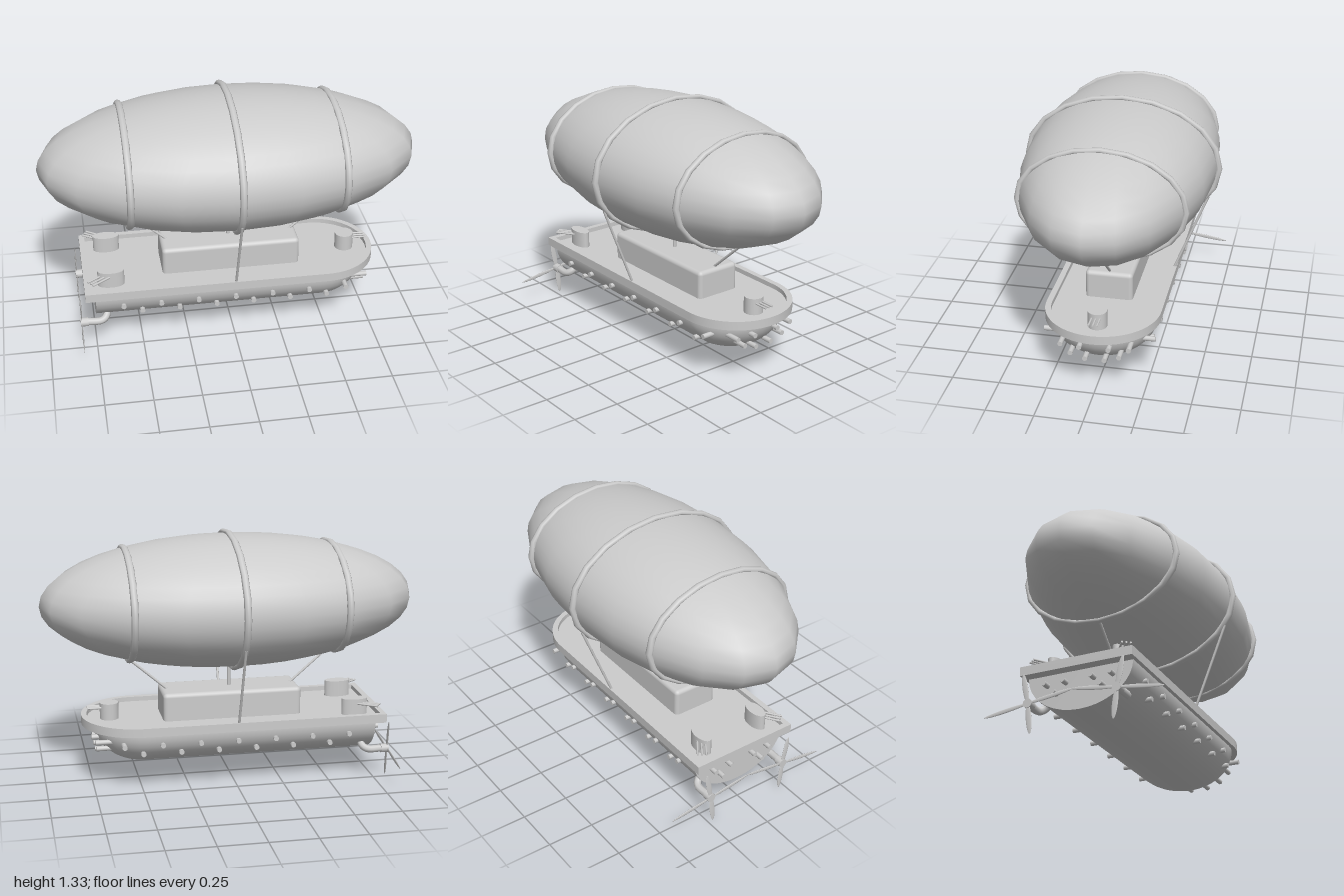
import * as THREE from 'three';
import { toCreasedNormals } from 'three/addons/utils/BufferGeometryUtils.js';
import { RoundedBoxGeometry } from 'three/addons/geometries/RoundedBoxGeometry.js';

const grey = new THREE.MeshStandardMaterial({ color: 0xcccccc });
const V = (x, y, z) => new THREE.Vector3(x, y, z);

export function createModel() {
  const model = new THREE.Group();
  const add = (name, geometry, parent = model) => {
    const mesh = new THREE.Mesh(geometry, grey);
    mesh.name = name;
    parent.add(mesh);
    return mesh;
  };
  // Straight round bar between two points
  const rod = (name, a, b, radius, parent = model, sides = 8) => {
    const mesh = add(name, new THREE.CylinderGeometry(radius, radius, a.distanceTo(b), sides), parent);
    mesh.position.copy(a).lerp(b, 0.5);
    mesh.quaternion.setFromUnitVectors(V(0, 1, 0), b.clone().sub(a).normalize());
    return mesh;
  };

  // Gas envelope and its three bands
  const centreY = 0.975;
  const envelope = add('envelope', new THREE.SphereGeometry(1, 20, 20));
  envelope.scale.set(1, 0.347, 0.5);
  envelope.position.y = centreY;
  for (const [x, ry, rz] of [[-0.55, 0.292, 0.422], [0, 0.355, 0.51], [0.55, 0.292, 0.422]]) {
    const tube = 0.018 / rz;
    const band = new THREE.TorusGeometry(1, tube, 8, 20).rotateY(Math.PI / 2).scale(0.019 / tube, ry, rz);
    add('envelopeBand', band).position.set(x, centreY, 0);
  }

  // Hull: half cylinder with a quarter-ellipsoid bow
  const sternX = -0.745, bowX = 0.48, hullTop = 0.33, hullDepth = 0.203, hullHalf = 0.28;
  const body = new THREE.CylinderGeometry(1, 1, bowX - sternX, 18, 1, false, Math.PI, Math.PI)
    .rotateZ(Math.PI / 2).scale(1, hullDepth, hullHalf);
  add('hull', body).position.set((sternX + bowX) / 2, hullTop, 0);
  const bow = new THREE.SphereGeometry(1, 18, 9, Math.PI / 2, Math.PI, Math.PI / 2, Math.PI / 2)
    .scale(0.26, hullDepth, hullHalf);
  add('bow', bow).position.set(bowX, hullTop, 0);

  // Deck floor and raised rim, square at the stern and round at the bow
  const outline = (inset, Type) => {
    const r = 0.3 - inset, x = -0.8 + inset, path = new Type();
    path.moveTo(x, -r);
    path.lineTo(0.5, -r);
    path.absarc(0.5, 0, r, -Math.PI / 2, Math.PI / 2, false);
    path.lineTo(x, r);
    path.closePath();
    return path;
  };
  const plate = (name, shape, depth) => {
    const geometry = new THREE.ExtrudeGeometry(shape, { depth, bevelEnabled: false, curveSegments: 18 });
    add(name, toCreasedNormals(geometry.rotateX(-Math.PI / 2), 0.5)).position.y = hullTop;
  };
  plate('deck', outline(0.02, THREE.Shape), 0.022);
  const rim = outline(0, THREE.Shape);
  rim.holes.push(outline(0.03, THREE.Path));
  plate('deckRim', rim, 0.047);

  // Cabin
  add('cabin', new RoundedBoxGeometry(0.745, 0.17, 0.25, 3, 0.022)).position.set(0, 0.415, 0);

  // Rigging between ship and envelope
  rod('centrePost', V(0, 0.48, 0), V(0, 0.66, 0), 0.009);
  for (const s of [-1, 1]) {
    rod('diagonalStrut', V(0.33 * s, 0.49, 0), V(0.555 * s, 0.685, 0), 0.007);
    rod('sideStay', V(0, 0.35, 0.278 * s), V(0, 0.81, 0.46 * s), 0.007);
  }

  // Deck turrets, each with three barrels
  const turret = (x, z, rx, rz, aim) => {
    const group = new THREE.Group();
    group.name = 'turret';
    group.position.set(x, 0, z);
    model.add(group);
    const drum = add('turretDrum', new THREE.CylinderGeometry(1, 1, 0.1, 20).scale(rx, 1, rz), group);
    drum.position.y = 0.39;
    const side = V(-aim.z, 0, aim.x).normalize();
    for (const k of [-1, 0, 1]) {
      const start = side.clone().multiplyScalar(0.021 * k).setY(0.415);
      rod('turretBarrel', start, start.clone().add(aim), 0.0055, group);
    }
  };
  turret(0.65, 0, 0.05, 0.05, V(0.117, 0, 0));
  for (const s of [-1, 1]) turret(-0.655, 0.175 * s, 0.071, 0.036, V(-0.113, 0, 0.08 * s));

  // Broadside cannons in two staggered rows
  const gun = (a, b) => rod('cannon', a, b, 0.0135, model, 10);
  for (const s of [-1, 1]) {
    for (let i = 0; i < 7; i++) {
      const x = -0.6 + 0.2 * i;
      gun(V(x, 0.275, 0.18 * s), V(x, 0.275, 0.29 * s));
      if (i < 6) gun(V(x + 0.1, 0.225, 0.16 * s), V(x + 0.1, 0.225, 0.267 * s));
    }
    // Bow and stern cannons
    for (const [y, z, tip] of [[0.275, 0.075, 0.755], [0.275, 0.175, 0.74], [0.225, 0.125, 0.735], [0.2, 0.05, 0.735]])
      gun(V(0.55, y, z * s), V(tip, y, z * s));
    for (const [y, z] of [[0.275, 0.075], [0.275, 0.175], [0.225, 0.125]])
      gun(V(-0.7, y, z * s), V(-0.79, y, z * s));
  }

  // Propellers on bent brackets at the stern
  for (const s of [-1, 1]) {
    const path = new THREE.CatmullRomCurve3([
      V(-0.69, 0.225, 0.17 * s), V(-0.69, 0.185, 0.215 * s), V(-0.715, 0.167, 0.235 * s), V(-0.805, 0.165, 0.235 * s),
    ]);
    add('propellerBracket', new THREE.TubeGeometry(path, 16, 0.02, 8));
    const propeller = new THREE.Group();
    propeller.name = 'propeller';
    propeller.position.set(-0.825, 0.165, 0.235 * s);
    model.add(propeller);
    rod('propellerHub', V(0.035, 0, 0), V(-0.006, 0, 0), 0.024, propeller, 12);
    for (const [y, z, width] of [[-0.035, 0.24, 0.011], [0.035, -0.24, 0.011], [-0.157, -0.017, 0.016], [0.157, 0.03, 0.016]]) {
      const length = Math.hypot(y, z);
      const blade = add('propellerBlade', new THREE.SphereGeometry(1, 10, 12).scale(0.003, length / 2, width), propeller);
      blade.position.set(0, y / 2, z * s / 2);
      blade.rotation.x = Math.atan2(z * s, y);
    }
  }
  return model;
}
